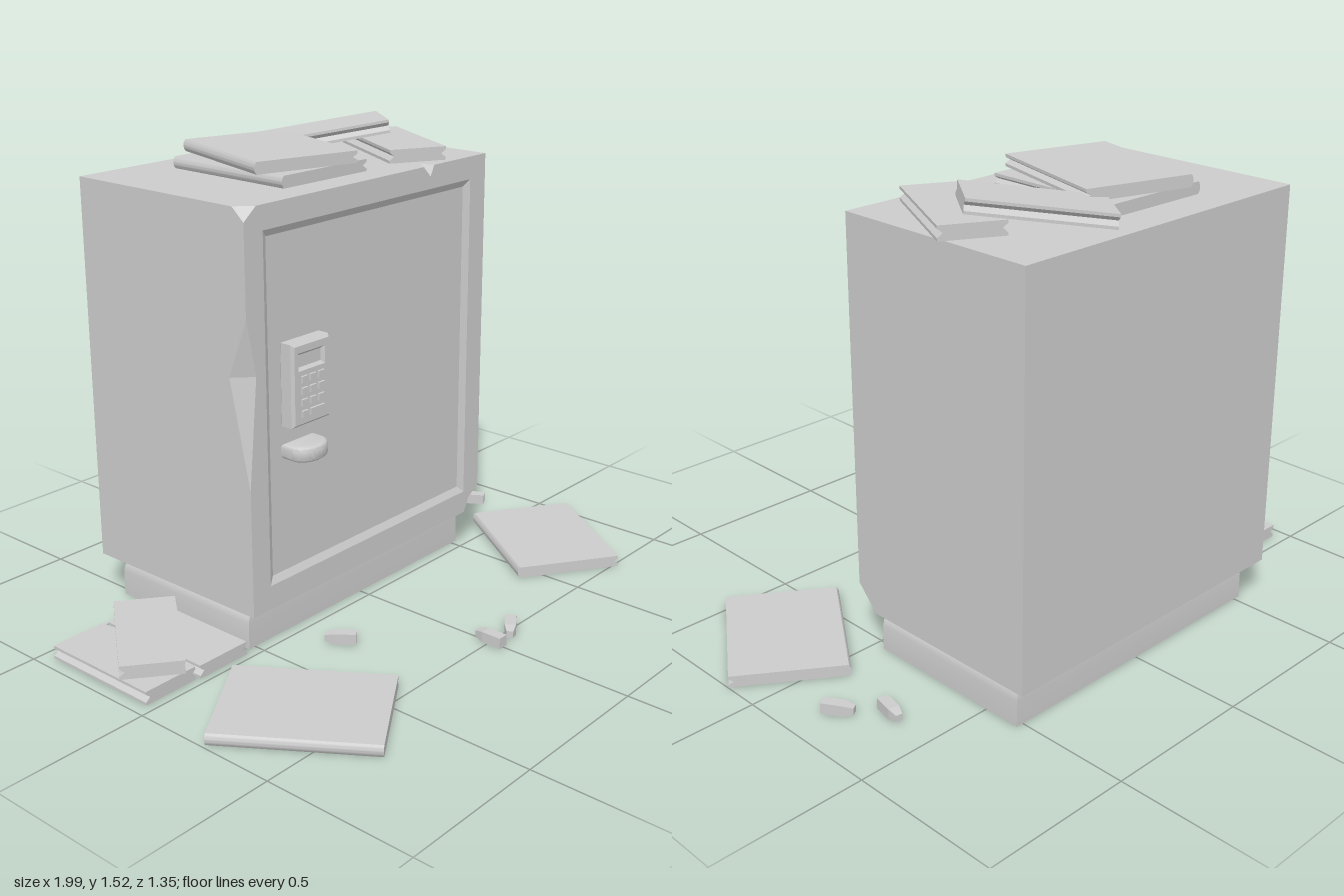
import * as THREE from 'three';
import { toCreasedNormals } from 'three/addons/utils/BufferGeometryUtils.js';

const grey = new THREE.MeshStandardMaterial({ color: 0xcccccc });

function add(parent, name, geometry, x = 0, y = 0, z = 0) {
  const mesh = new THREE.Mesh(geometry, grey);
  mesh.name = name;
  mesh.position.set(x, y, z);
  parent.add(mesh);
  return mesh;
}

// Collects flat polygons, each turned to face along a rough outward normal
function faceBuilder() {
  const out = [];
  const V = (p) => new THREE.Vector3(...p);
  return {
    face(normal, outline, hole = []) {
      const a = normal.map(Math.abs);
      const drop = a.indexOf(Math.max(...a));
      const flat = (p) => new THREE.Vector2(...p.filter((_, i) => i !== drop));
      const pts = [...outline, ...hole];
      const tris = THREE.ShapeUtils.triangulateShape(outline.map(flat), hole.length ? [hole.map(flat)] : []);
      for (const [i, j, k] of tris) {
        const n = V(pts[j]).sub(V(pts[i])).cross(V(pts[k]).sub(V(pts[i])));
        out.push(...pts[i], ...(n.dot(V(normal)) < 0 ? [...pts[k], ...pts[j]] : [...pts[j], ...pts[k]]));
      }
    },
    build() {
      const g = new THREE.BufferGeometry();
      g.setAttribute('position', new THREE.Float32BufferAttribute(out, 3));
      g.computeVertexNormals();
      return g;
    },
  };
}

// Cabinet body with chipped corners, dented edge and recessed door panel
function cabinetGeometry() {
  const L = -0.565, R = 0.56, B = 0.145, T = 1.41, F = 0.025, K = -0.68;
  const chip = [[-0.515, T, F], [L, 1.37, F], [L, T, -0.02]];
  const corner = [[R, 0.225, F], [0.51, 0.195, F], [0.485, B, F], [R, B, -0.05]];
  const nick = [[0.235, T, F], [0.27, 1.375, F], [0.288, T, F], [0.27, T, -0.02]];
  const dent = [[L, 1.09, F], [-0.53, 0.91, F], [L, 0.56, F], [L, 0.9, -0.05]];
  const rect = (x0, y0, x1, y1, z) => [[x0, y0, z], [x1, y0, z], [x1, y1, z], [x0, y1, z]];
  const rim = rect(-0.49, 0.225, 0.48, 1.335, F);
  const panel = rect(-0.467, 0.248, 0.457, 1.312, F - 0.013);
  const { face, build } = faceBuilder();

  face([0, 0, 1], [[L, B, F], corner[2], corner[1], corner[0], [R, T, F], nick[2], nick[1], nick[0],
    chip[0], chip[1], dent[0], dent[1], dent[2]], rim);
  face([0, 0, 1], panel);
  [[0, 1, 0.5], [-1, 0, 0.5], [0, -1, 0.5], [1, 0, 0.5]].forEach((n, i) => {
    const j = (i + 1) % 4;
    face(n, [rim[i], rim[j], panel[j], panel[i]]);
  });
  face([0, 0, -1], rect(L, B, R, T, K));
  face([0, 1, 0], [[L, T, K], [R, T, K], [R, T, F], nick[2], nick[3], nick[0], chip[0], chip[2]]);
  face([0, -1, 0], [[L, B, K], [R, B, K], corner[3], corner[2], [L, B, F]]);
  face([1, 0, 0], [[R, B, K], [R, T, K], [R, T, F], corner[0], corner[3]]);
  face([-1, 0, 0], [[L, B, K], [L, T, K], chip[2], chip[1], dent[0], dent[3], dent[2], [L, B, F]]);
  face([-1, 1, 1], chip);
  face([1, -1, 1], [corner[0], corner[1], corner[3]]);
  face([1, -1, 1], [corner[1], corner[2], corner[3]]);
  face([1, 1, 1], [nick[0], nick[1], nick[3]]);
  face([-1, 1, 1], [nick[2], nick[1], nick[3]]);
  face([-1, 0, 1], [dent[0], dent[1], dent[3]]);
  face([-1, 0, 1], [dent[2], dent[1], dent[3]]);
  return build();
}

// Plinth: rectangular rings stacked up, drawn in towards the top
function plinthGeometry() {
  const rings = [[0, 0], [0.085, 0], [0.105, 0.15], [0.12, 0.5], [0.133, 0.85], [0.15, 1]].map(([y, k]) => {
    const x = 0.525 - 0.03 * k, z0 = -0.04 - 0.006 * k, z1 = -0.625 + 0.016 * k;
    return [[-x, y, z0], [x, y, z0], [x, y, z1], [-x, y, z1]];
  });
  const { face, build } = faceBuilder();
  const normals = [[0, 0, 1], [1, 0, 0], [0, 0, -1], [-1, 0, 0]];
  for (let r = 0; r < rings.length - 1; r++) {
    normals.forEach((n, i) => {
      const j = (i + 1) % 4;
      face(n, [rings[r][i], rings[r][j], rings[r + 1][j], rings[r + 1][i]]);
    });
  }
  face([0, -1, 0], rings[0]);
  face([0, 1, 0], rings.at(-1));
  return toCreasedNormals(build(), 0.8);
}

// Book: V-shaped fore edge, and a rounded spine or a second V, run along z
function bookGeometry(w, h, len, spine) {
  const s = new THREE.Shape(), x = w / 2, c = 0.009, v = 0.016;
  s.moveTo(spine ? -x + 0.008 : -x, 0);
  s.lineTo(x, 0);
  s.lineTo(x, c);
  s.lineTo(x - v, h / 2);
  s.lineTo(x, h - c);
  s.lineTo(x, h);
  if (spine) {
    s.lineTo(-x + 0.008, h);
    s.quadraticCurveTo(-x - 0.008, h / 2, -x + 0.008, 0);
  } else {
    s.lineTo(-x, h);
    s.lineTo(-x, h - c);
    s.lineTo(-x + v, h / 2);
    s.lineTo(-x, c);
  }
  const g = new THREE.ExtrudeGeometry(s, { depth: len, bevelEnabled: false, curveSegments: 8 });
  g.translate(0, 0, -len / 2);
  return toCreasedNormals(g, 0.5);
}

function rectShape(Type, x0, y0, x1, y1) {
  return new Type([[x0, y0], [x1, y0], [x1, y1], [x0, y1]].map((p) => new THREE.Vector2(...p)));
}

function makeKeypad() {
  const keypad = new THREE.Group();
  keypad.name = 'keypad';
  const plate = rectShape(THREE.Shape, -0.074, -0.122, 0.074, 0.122);
  plate.holes.push(rectShape(THREE.Path, -0.058, 0.044, 0.058, 0.1));
  const g = new THREE.ExtrudeGeometry(plate, { depth: 0.039, bevelThickness: 0.009, bevelSize: 0.008, bevelSegments: 1 });
  add(keypad, 'keypadCase', g, 0, 0, 0.002);
  add(keypad, 'screen', new THREE.BoxGeometry(0.12, 0.06, 0.038), 0, 0.072, 0.019);
  // Four rows of keys, the last with one wide key
  for (let row = 0; row < 4; row++) {
    for (let col = 0; col < 3; col++) {
      if (row === 3 && col === 2) continue;
      const wide = row === 3 && col === 1;
      add(keypad, 'key', new THREE.BoxGeometry(wide ? 0.061 : 0.025, 0.021, 0.016),
        -0.036 + col * 0.036 + (wide ? 0.018 : 0), 0.018 - row * 0.036, 0.05);
    }
  }
  keypad.position.set(-0.3475, 0.86, 0.025);
  return keypad;
}

// Handle: half-round plan with softened edges
function handleGeometry() {
  const s = new THREE.Shape();
  s.moveTo(-0.056, 0);
  s.lineTo(-0.056, 0.03);
  s.absellipse(0, 0.03, 0.056, 0.04, Math.PI, 0, true);
  s.lineTo(0.056, 0);
  const g = new THREE.ExtrudeGeometry(s, { depth: 0.022, bevelThickness: 0.014, bevelSize: 0.014, bevelSegments: 4, curveSegments: 16 });
  g.rotateX(Math.PI / 2);
  return toCreasedNormals(g.translate(0, 0.011, 0), 0.7);
}

// Small four-sided slug with a tapered tip, lying along -z
function slugGeometry() {
  const r = 0.0255;
  const pts = [[0, 0], [r, 0], [r, 0.068], [r * 0.6, 0.1], [0, 0.1]].map((p) => new THREE.Vector2(...p));
  const g = new THREE.LatheGeometry(pts, 4, Math.PI / 4).translate(0, -0.05, 0);
  return toCreasedNormals(g.rotateX(-Math.PI / 2).translate(0, 0.018, 0), 0.1);
}

export function createModel() {
  const model = new THREE.Group();
  model.name = 'damagedSafe';
  add(model, 'cabinet', cabinetGeometry());
  add(model, 'plinth', plinthGeometry());
  model.add(makeKeypad());
  add(model, 'handle', handleGeometry(), -0.35, 0.643, 0.025);

  // Large books: x, y, z, turn, width, length
  [
    [-0.695, 0, 0.353, 0.588, 0.386, 0.5],
    [0.711, 0, 0.214, -0.6, 0.37, 0.476],
    [-0.112, 1.41, -0.313, -0.02, 0.37, 0.478],
    [-0.112, 1.45, -0.315, -0.289, 0.358, 0.465],
  ].forEach(([x, y, z, turn, w, len]) => {
    add(model, 'largeBook', bookGeometry(w, 0.038, len, true), x, y, z).rotation.y = turn;
  });

  // Narrow books: x, y, z, turn, tilt
  [
    [-0.858, 0, -0.243, 0, 0],
    [-0.65, 0, -0.235, 0, 0],
    [-0.757, 0.048, -0.243, -0.666, 0],
    [0.393, 1.41, -0.233, -0.488, 0],
    [0.273, 1.442, -0.438, 0.922, -0.14],
  ].forEach(([x, y, z, turn, tilt]) => {
    add(model, 'narrowBook', bookGeometry(0.195, 0.044, 0.422, false), x, y, z).rotation.set(tilt, turn, 0, 'YXZ');
  });

  // Scattered slugs: x, z, turn
  [
    [0.743, -0.325, -0.2], [0.845, -0.21, 0.55], [0, 0.5, 0], [0.095, 0.51, 2.15], [-0.305, 0.145, 0.65],
  ].forEach(([x, z, turn]) => {
    add(model, 'slug', slugGeometry(), x, 0, z).rotation.y = turn;
  });
  return model;
}
